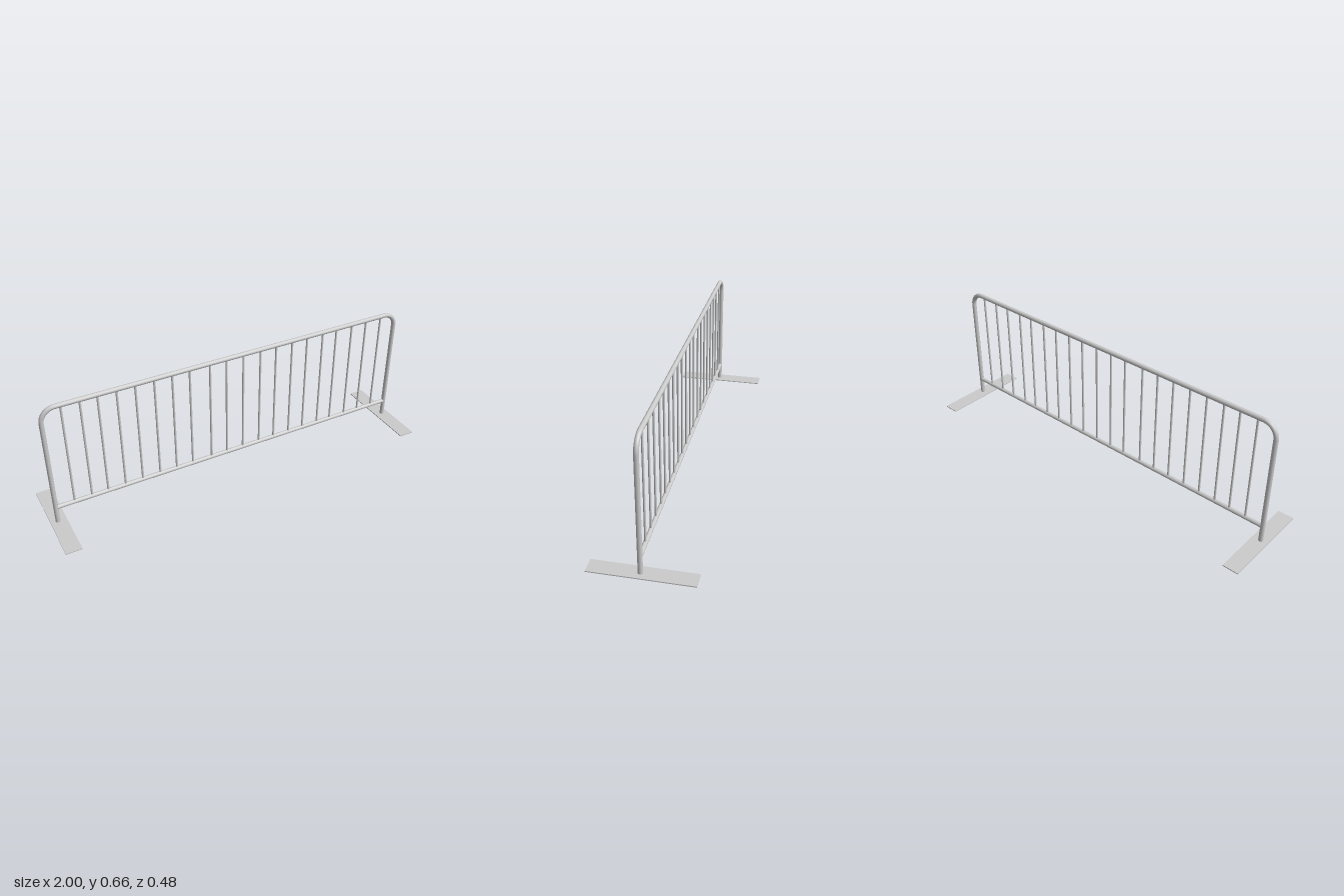
import * as THREE from 'three';

const Z = 0.008;          // plane of the railing
const POST_X = 0.963;     // centre line of the posts
const TOP_Y = 0.651;      // centre line of the top rail
const RAIL_Y = 0.091;     // centre line of the bottom rail
const BEND = 0.07;        // corner radius
const FOOT_H = 0.005;

const BAR_XS = [-0.868, -0.78, -0.697, -0.606, -0.515, -0.421, -0.33, -0.24, -0.133, -0.044,
  0.049, 0.145, 0.234, 0.327, 0.415, 0.509, 0.592, 0.688, 0.777, 0.87];

export function createModel() {
  const group = new THREE.Group();
  const material = new THREE.MeshStandardMaterial({ color: 0xcccccc });

  const add = (name, geometry, x = 0, y = 0, z = 0) => {
    const mesh = new THREE.Mesh(geometry, material);
    mesh.name = name;
    mesh.position.set(x, y, z);
    group.add(mesh);
    return mesh;
  };

  // Bent frame: two posts and the top rail in one tube
  const v = (x, y) => new THREE.Vector3(x, y, Z);
  const inX = POST_X - BEND, lowY = TOP_Y - BEND, k = BEND * 0.448;
  const path = new THREE.CurvePath();
  path.add(new THREE.LineCurve3(v(-POST_X, 0.002), v(-POST_X, lowY)));
  path.add(new THREE.CubicBezierCurve3(
    v(-POST_X, lowY), v(-POST_X, TOP_Y - k), v(-POST_X + k, TOP_Y), v(-inX, TOP_Y)));
  path.add(new THREE.LineCurve3(v(-inX, TOP_Y), v(inX, TOP_Y)));
  path.add(new THREE.CubicBezierCurve3(
    v(inX, TOP_Y), v(POST_X - k, TOP_Y), v(POST_X, TOP_Y - k), v(POST_X, lowY)));
  path.add(new THREE.LineCurve3(v(POST_X, lowY), v(POST_X, 0.002)));
  add('frame', new THREE.TubeGeometry(path, 240, 0.0117, 12));

  // Bottom rail between the posts
  const rail = new THREE.CylinderGeometry(0.011, 0.011, POST_X * 2, 12).rotateZ(Math.PI / 2);
  add('bottomRail', rail, 0, RAIL_Y, Z);

  // Upright bars
  const bar = new THREE.CylinderGeometry(0.0055, 0.0055, TOP_Y - RAIL_Y, 10);
  BAR_XS.forEach((x, i) => add(`bar${i + 1}`, bar, x, (TOP_Y + RAIL_Y) / 2, Z));

  // Flat feet
  const foot = new THREE.BoxGeometry(0.08, FOOT_H, 0.48);
  add('leftFoot', foot, 0.96, FOOT_H / 2, 0);
  add('rightFoot', foot, -0.96, FOOT_H / 2, 0);

  return group;
}
